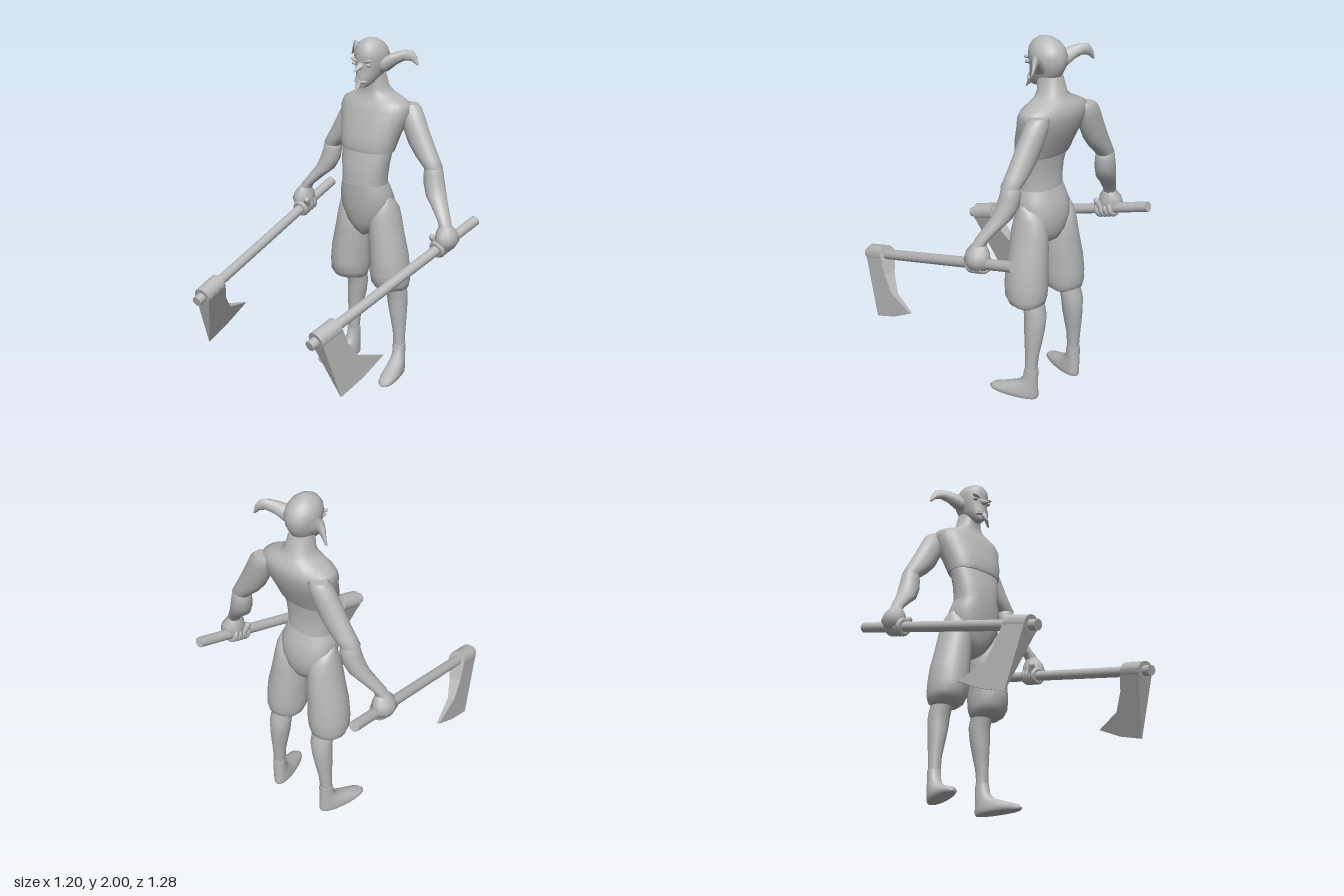
import * as THREE from 'three';

const grey = new THREE.MeshStandardMaterial({ color: 0xb8b8b8 });
grey.name = 'clay grey';

function add(parent, name, geometry, position) {
  const mesh = new THREE.Mesh(geometry, grey);
  mesh.name = name;
  if (position) mesh.position.set(...position);
  parent.add(mesh);
  return mesh;
}

// Smooth skin over rounded horizontal rings, bottom to top: [y, centre x, half width, z front, z back]
function loft(rings, power = 2, sides = 28) {
  const pos = [], index = [];
  const soft = (v) => Math.sign(v) * Math.pow(Math.abs(v), 2 / power);
  const ringAt = ([y, cx, rx, zf, zb]) => {
    const start = pos.length / 3;
    for (let j = 0; j < sides; j++) {
      const a = (j / sides) * Math.PI * 2;
      pos.push(cx + rx * soft(Math.cos(a)), y, (zf + zb) / 2 + ((zf - zb) / 2) * soft(Math.sin(a)));
    }
    return start;
  };
  const starts = rings.map(ringAt);
  for (let i = 0; i < rings.length - 1; i++) {
    for (let j = 0; j < sides; j++) {
      const k = (j + 1) % sides, a = starts[i], b = starts[i + 1];
      index.push(a + j, b + j, a + k, a + k, b + j, b + k);
    }
  }
  // flat end caps on their own vertices
  [rings[0], rings[rings.length - 1]].forEach((ring, top) => {
    const s = ringAt(ring), c = pos.length / 3;
    pos.push(ring[1], ring[0], (ring[3] + ring[4]) / 2);
    for (let j = 0; j < sides; j++) {
      const k = (j + 1) % sides;
      if (top) index.push(c, s + k, s + j);
      else index.push(c, s + j, s + k);
    }
  });
  const g = new THREE.BufferGeometry();
  g.setAttribute('position', new THREE.Float32BufferAttribute(pos, 3));
  g.setIndex(index);
  g.computeVertexNormals();
  return g;
}

function makeHead() {
  const head = new THREE.Group();
  head.name = 'head';
  add(head, 'skull', loft([
    [1.735, 0, 0.02, -0.245, -0.32], [1.76, 0, 0.045, -0.24, -0.39], [1.80, 0, 0.066, -0.246, -0.435],
    [1.85, 0, 0.083, -0.25, -0.458], [1.90, 0, 0.092, -0.243, -0.464], [1.94, 0, 0.083, -0.246, -0.448],
    [1.97, 0, 0.064, -0.265, -0.42], [1.99, 0, 0.036, -0.295, -0.385], [2.0, 0, 0.006, -0.33, -0.345],
  ]));
  // pointed nose, hooked forward and down
  const nose = add(head, 'nose', new THREE.ConeGeometry(0.026, 0.085, 10), [0, 1.843, -0.228]);
  nose.rotation.x = 1.95;
  const beard = add(head, 'chinBeard', new THREE.ConeGeometry(0.022, 0.085, 10), [0, 1.733, -0.225]);
  beard.rotation.x = Math.PI - 0.65;
  // row of pointed teeth on the muzzle
  const lip = add(head, 'lowerLip', new THREE.SphereGeometry(1, 16, 10), [0, 1.767, -0.26]);
  lip.scale.set(0.042, 0.013, 0.03);
  for (let i = -3; i <= 3; i++) {
    const z = -0.235 - Math.abs(i) * 0.005;
    add(head, 'lowerTooth', new THREE.ConeGeometry(0.005, 0.024, 6), [i * 0.011, 1.785, z]);
  }
  for (const s of [-1, 1]) {
    const eye = add(head, 'eye', new THREE.SphereGeometry(0.014, 14, 10), [s * 0.05, 1.862, -0.262]);
    eye.scale.y = 0.7;
    const brow = add(head, 'brow', new THREE.SphereGeometry(1, 14, 8), [s * 0.047, 1.883, -0.258]);
    brow.scale.set(0.028, 0.009, 0.014);
    brow.rotation.z = s * 0.25;
  }
  return head;
}

// Swept, drooping ear, lofted outward along x (ring centre is minus height)
function makeEar() {
  return loft([
    [0.07, -1.85, 0.038, -0.32, -0.40], [0.10, -1.866, 0.046, -0.33, -0.41], [0.14, -1.895, 0.035, -0.365, -0.43],
    [0.175, -1.912, 0.03, -0.40, -0.45], [0.205, -1.908, 0.03, -0.43, -0.465], [0.225, -1.882, 0.024, -0.45, -0.468],
    [0.238, -1.857, 0.003, -0.457, -0.463],
  ], 2, 12).rotateZ(-Math.PI / 2);
}

function makeAxe() {
  const axe = new THREE.Group();
  axe.name = 'axe';
  const back = new THREE.Vector3(0.54, 0.985, -0.63), tip = new THREE.Vector3(0.42, 0.62, 0.63);
  const along = tip.clone().sub(back);
  const length = along.length();
  along.normalize();
  // local x runs along the handle, local y toward the cutting edge
  const down = new THREE.Vector3(0.2, -0.93, -0.25);
  down.addScaledVector(along, -down.dot(along)).normalize();
  const side = along.clone().cross(down);
  axe.quaternion.setFromRotationMatrix(new THREE.Matrix4().makeBasis(along, down, side));
  axe.position.copy(back).lerp(tip, 0.913);
  const rod = (r, len) => new THREE.CylinderGeometry(r, r, len, 16).rotateZ(Math.PI / 2);
  add(axe, 'handle', rod(0.029, length), [length * (0.5 - 0.913), 0, 0]);
  add(axe, 'collar', rod(0.052, 0.146), [-0.004, 0, 0]);
  // wedge blade: thick at the collar, thin at the edge
  const shape = new THREE.Shape([
    [0.069, -0.01], [0.05, 0.362], [-0.12, 0.352], [-0.29, 0.318], [-0.135, 0.22], [-0.09, 0.11], [-0.077, -0.01],
  ].map((p) => new THREE.Vector2(...p)));
  const blade = new THREE.ExtrudeGeometry(shape, { depth: 2, bevelEnabled: false }).translate(0, 0, -1);
  const p = blade.attributes.position;
  for (let i = 0; i < p.count; i++) p.setZ(i, p.getZ(i) * 0.05 * (1 - p.getY(i) / 0.37));
  blade.computeVertexNormals();
  add(axe, 'blade', blade);
  // fingers curled around the handle
  for (let i = 0; i < 4; i++) {
    const finger = new THREE.TorusGeometry(0.036, 0.016, 8, 18).rotateY(Math.PI / 2);
    add(axe, 'finger', finger, [-0.965 + i * 0.03, 0, 0]);
  }
  return axe;
}

// Everything that exists once per side, built for the +x side
function makeSide() {
  const half = new THREE.Group();
  add(half, 'ear', makeEar());
  add(half, 'upperArm', loft([
    [1.28, 0.372, 0.04, -0.41, -0.49], [1.31, 0.365, 0.057, -0.395, -0.5], [1.36, 0.323, 0.072, -0.395, -0.505],
    [1.42, 0.28, 0.08, -0.395, -0.51], [1.50, 0.238, 0.079, -0.395, -0.515], [1.56, 0.21, 0.074, -0.4, -0.52],
    [1.61, 0.19, 0.066, -0.41, -0.52], [1.635, 0.185, 0.045, -0.425, -0.51],
  ]));
  add(half, 'forearm', loft([
    [1.00, 0.525, 0.034, -0.335, -0.405], [1.04, 0.508, 0.036, -0.34, -0.415], [1.10, 0.457, 0.048, -0.36, -0.45],
    [1.15, 0.412, 0.06, -0.375, -0.48], [1.21, 0.385, 0.061, -0.385, -0.5], [1.27, 0.372, 0.056, -0.395, -0.503],
    [1.31, 0.37, 0.05, -0.4, -0.5], [1.33, 0.37, 0.03, -0.42, -0.48],
  ]));
  add(half, 'fist', loft([
    [0.87, 0.51, 0.02, -0.34, -0.39], [0.895, 0.525, 0.05, -0.31, -0.43], [0.94, 0.535, 0.065, -0.295, -0.448],
    [0.98, 0.53, 0.056, -0.305, -0.44], [1.02, 0.522, 0.036, -0.335, -0.41],
  ], 2, 10));
  const thumb = add(half, 'thumb', new THREE.CapsuleGeometry(0.018, 0.055, 4, 10), [0.475, 0.93, -0.335]);
  thumb.rotation.set(0.5, 0, 0.25);
  add(half, 'trouserLeg', loft([
    [0.55, 0.152, 0.083, -0.315, -0.45], [0.565, 0.153, 0.1, -0.27, -0.468], [0.60, 0.152, 0.11, -0.243, -0.478],
    [0.66, 0.148, 0.114, -0.235, -0.48], [0.76, 0.142, 0.11, -0.237, -0.473], [0.87, 0.125, 0.1, -0.24, -0.463],
    [0.97, 0.118, 0.084, -0.242, -0.455], [1.04, 0.122, 0.066, -0.26, -0.435], [1.08, 0.13, 0.046, -0.285, -0.4],
    [1.105, 0.135, 0.03, -0.305, -0.35],
  ]));
  add(half, 'shin', loft([
    [0.17, 0.175, 0.033, -0.39, -0.458], [0.26, 0.172, 0.037, -0.387, -0.465], [0.34, 0.164, 0.046, -0.378, -0.477],
    [0.42, 0.156, 0.056, -0.37, -0.486], [0.50, 0.15, 0.062, -0.367, -0.488], [0.58, 0.147, 0.062, -0.345, -0.465],
  ]));
  // foot, built straight then turned out around the ankle
  const foot = add(half, 'foot', loft([
    [0, 0, 0.045, 0.25, -0.035], [0.012, 0, 0.053, 0.258, -0.04], [0.03, 0, 0.052, 0.24, -0.04],
    [0.055, 0, 0.047, 0.165, -0.038], [0.085, 0, 0.041, 0.085, -0.037], [0.12, 0, 0.037, 0.05, -0.036],
    [0.18, 0, 0.037, 0.04, -0.036],
  ], 2.2), [0.175, 0, -0.428]);
  foot.rotation.y = 0.28;
  half.add(makeAxe());
  return half;
}

// Mirror all meshes of a side by baking x = -x and swapping the corner order
function mirrored(group) {
  const out = new THREE.Group();
  group.updateMatrixWorld(true);
  group.traverse((o) => {
    if (!o.isMesh) return;
    const g = o.geometry.clone().applyMatrix4(o.matrixWorld);
    g.applyMatrix4(new THREE.Matrix4().makeScale(-1, 1, 1));
    if (!g.index) g.setIndex([...Array(g.attributes.position.count).keys()]);
    const a = g.index.array;
    for (let i = 0; i < a.length; i += 3) [a[i], a[i + 1]] = [a[i + 1], a[i]];
    add(out, o.name, g);
  });
  return out;
}

export function createModel() {
  const model = new THREE.Group();
  model.name = 'figure with two axes';
  model.add(makeHead());
  add(model, 'chest', loft([
    [1.375, 0, 0.166, -0.222, -0.43], [1.40, 0, 0.172, -0.217, -0.443], [1.46, 0, 0.186, -0.225, -0.468],
    [1.53, 0, 0.203, -0.247, -0.5], [1.60, 0, 0.222, -0.268, -0.517], [1.64, 0, 0.212, -0.288, -0.512],
    [1.665, 0, 0.165, -0.302, -0.5], [1.69, 0, 0.105, -0.31, -0.483], [1.72, 0, 0.073, -0.31, -0.464],
    [1.80, 0, 0.06, -0.3, -0.44],
  ], 2.3));
  add(model, 'waist', loft([
    [1.17, 0, 0.136, -0.2, -0.412], [1.23, 0, 0.139, -0.203, -0.405], [1.30, 0, 0.15, -0.212, -0.402],
    [1.39, 0, 0.163, -0.235, -0.415],
  ], 2.3));
  add(model, 'pelvis', loft([
    [0.865, 0, 0.02, -0.28, -0.37], [0.90, 0, 0.07, -0.25, -0.425], [0.95, 0, 0.115, -0.228, -0.448],
    [1.02, 0, 0.15, -0.212, -0.458], [1.09, 0, 0.159, -0.203, -0.45], [1.14, 0, 0.15, -0.2, -0.43],
    [1.185, 0, 0.137, -0.198, -0.413],
  ], 2.4));
  const left = makeSide();
  left.name = 'leftSide';
  const right = mirrored(left);
  right.name = 'rightSide';
  model.add(left, right);
  return model;
}
